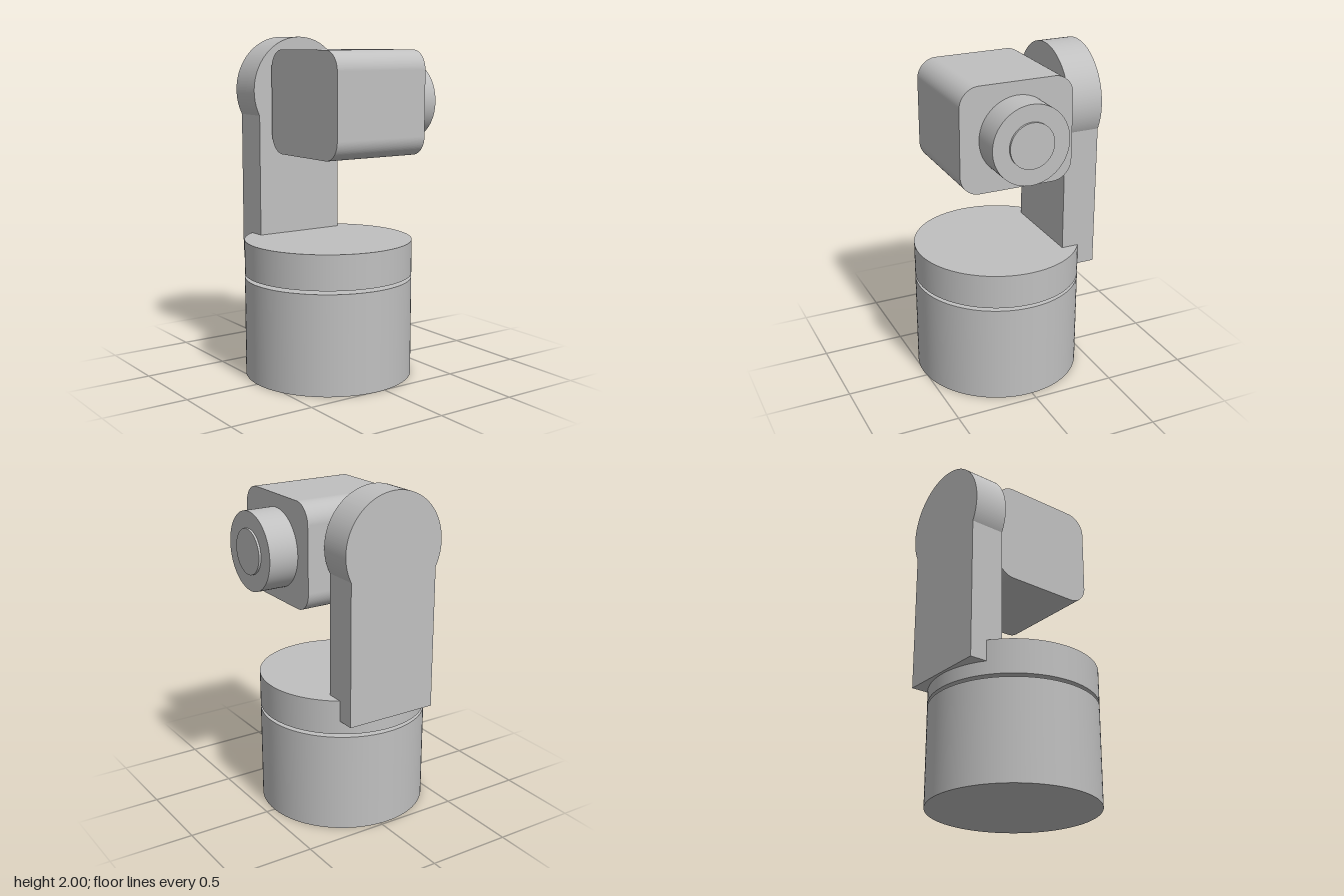
import * as THREE from 'three';

const AXIS_X = -0.05; // shared centre line of base and arm

export function createModel() {
  const model = new THREE.Group();
  const grey = new THREE.MeshStandardMaterial({ color: 0xc0c0c0 });
  grey.name = 'grey';

  const add = (name, geometry, x, y, z) => {
    const mesh = new THREE.Mesh(geometry, grey);
    mesh.name = name;
    mesh.position.set(x, y, z);
    model.add(mesh);
    return mesh;
  };

  // Cylinder spanning from..to along the given axis; other centres come from x, y, z
  const disc = (name, axis, r, from, to, x, y, z) => {
    const geometry = new THREE.CylinderGeometry(r, r, to - from, 96);
    if (axis === 'x') geometry.rotateZ(-Math.PI / 2);
    if (axis === 'z') geometry.rotateX(Math.PI / 2);
    const mesh = add(name, geometry, x, y, z);
    mesh.position[axis] = (from + to) / 2;
  };

  // Base, turning shaft with its small pin, and turntable
  disc('base', 'y', 0.497, 0, 0.59, AXIS_X, 0, 0.01);
  disc('panShaft', 'y', 0.11, 0.58, 0.62, AXIS_X, 0, 0.015);
  disc('panPin', 'y', 0.03, 0.58, 0.62, AXIS_X, 0, -0.12);
  disc('turntable', 'y', 0.497, 0.61, 0.815, AXIS_X, 0, 0.01);

  // Upright arm with a wider round top
  const half = 0.2825, top = 1.682, r = 0.318;
  const a = Math.acos(half / r);
  const arm = new THREE.Shape();
  arm.moveTo(-half, 0.815);
  arm.lineTo(half, 0.815);
  arm.absarc(0, top, r, -a, Math.PI + a, false);
  arm.closePath();
  add('arm', new THREE.ExtrudeGeometry(arm, { depth: 0.21, bevelEnabled: false, curveSegments: 72 }),
    AXIS_X, 0, -0.505);

  // Lip that hooks down behind the turntable
  add('armLip', new THREE.BoxGeometry(half * 2, 0.125, 0.105), AXIS_X, 0.7525, -0.4525);

  // Tilt joint between arm and head
  disc('tiltShaft', 'z', 0.045, -0.3, -0.275, AXIS_X, 1.685, 0);
  disc('tiltFlange', 'z', 0.105, -0.282, -0.265, AXIS_X, 1.685, 0);
  disc('tiltPin', 'z', 0.03, -0.282, -0.265, AXIS_X, 1.563, 0);

  // Head: rounded square section pushed along x
  const w = 0.3375, h = 0.306, c = 0.115;
  const section = new THREE.Shape();
  section.absarc(w - c, h - c, c, 0, Math.PI / 2, false);
  section.absarc(c - w, h - c, c, Math.PI / 2, Math.PI, false);
  section.absarc(c - w, c - h, c, Math.PI, Math.PI * 1.5, false);
  section.absarc(w - c, c - h, c, Math.PI * 1.5, Math.PI * 2, false);
  section.closePath();
  const head = new THREE.ExtrudeGeometry(section, { depth: 0.617, bevelEnabled: false, curveSegments: 20 });
  head.rotateY(Math.PI / 2);
  add('head', head, -0.262, 1.62, 0.0675);

  // Lens barrel and its front glass
  disc('lensBarrel', 'x', 0.228, 0.35, 0.53, 0, 1.62, 0.065);
  disc('lensGlass', 'x', 0.131, 0.525, 0.543, 0, 1.62, 0.065);

  return model;
}
